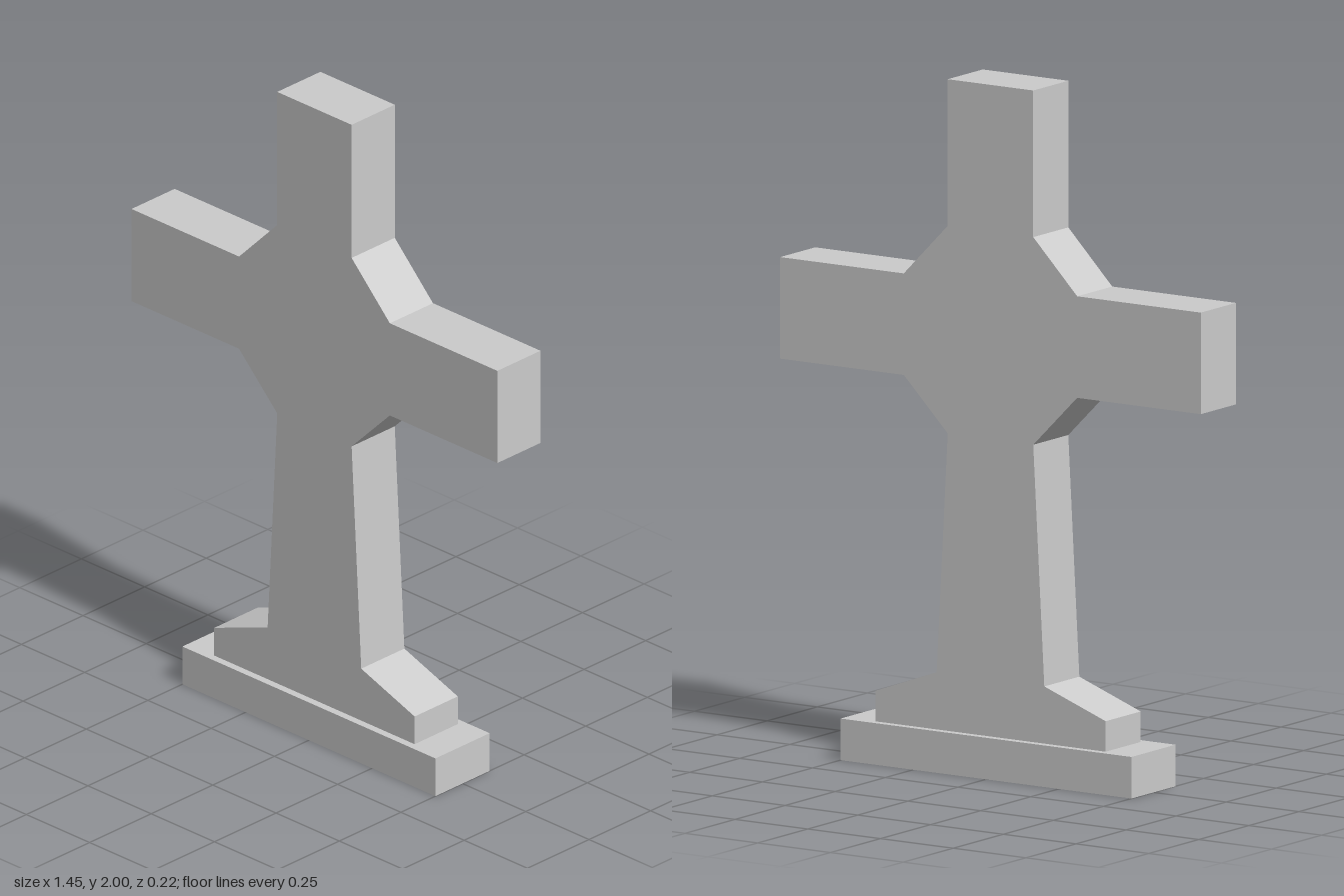
import * as THREE from 'three';

const material = new THREE.MeshStandardMaterial({
  color: 0xcccccc, flatShading: true, side: THREE.DoubleSide,
});

// Keep only the triangles whose normal has an upward component accepted by the test
function keepFaces(geometry, test) {
  const source = geometry.index ? geometry.toNonIndexed() : geometry;
  const p = source.attributes.position;
  const tri = new THREE.Triangle();
  const normal = new THREE.Vector3();
  const points = [];
  for (let i = 0; i < p.count; i += 3) {
    tri.setFromAttributeAndIndices(p, i, i + 1, i + 2);
    tri.getNormal(normal);
    if (test(normal.y)) points.push(tri.a.clone(), tri.b.clone(), tri.c.clone());
  }
  const result = new THREE.BufferGeometry().setFromPoints(points);
  result.computeVertexNormals();
  return result;
}

function rectangle(Type, halfX, halfY) {
  return new Type([[-1, -1], [1, -1], [1, 1], [-1, 1]]
    .map(([x, y]) => new THREE.Vector2(x * halfX, y * halfY)));
}

function addMesh(group, name, geometry) {
  const mesh = new THREE.Mesh(geometry, material);
  mesh.name = name;
  group.add(mesh);
  return mesh;
}

export function createModel() {
  const group = new THREE.Group();
  group.name = 'stoneCross';

  const footX = 0.396, halfDepth = 0.0875;
  const baseX = 0.5, baseDepth = 0.11, baseTop = 0.12;

  // Cross: half outline from the foot to the top, mirrored to the other side
  const half = [
    [footX, baseTop], [footX, 0.208], [0.185, 0.285], [0.147, 0.978],
    [0.298, 1.13], [0.723, 1.13], [0.723, 1.423], [0.298, 1.423],
    [0.147, 1.577], [0.147, 2],
  ];
  const outline = [...half, ...half.map(([x, y]) => [-x, y]).reverse()];
  const shape = new THREE.Shape(outline.map(([x, y]) => new THREE.Vector2(x, y)));
  const cross = new THREE.ExtrudeGeometry(shape, { depth: 2 * halfDepth, bevelEnabled: false });
  cross.translate(0, 0, -halfDepth);
  // The level undersides of the shell are open
  addMesh(group, 'cross', keepFaces(cross, (y) => y > -0.99));

  // Plinth: four walls and a top ledge around the foot, open below
  const walls = new THREE.BoxGeometry(2 * baseX, baseTop, 2 * baseDepth);
  walls.translate(0, baseTop / 2, 0);
  addMesh(group, 'plinthWalls', keepFaces(walls, (y) => Math.abs(y) < 0.5));

  const ledge = rectangle(THREE.Shape, baseX, baseDepth);
  ledge.holes.push(rectangle(THREE.Path, footX, halfDepth));
  const ledgeGeometry = new THREE.ShapeGeometry(ledge).rotateX(-Math.PI / 2);
  addMesh(group, 'plinthLedge', ledgeGeometry).position.y = baseTop;

  return group;
}
